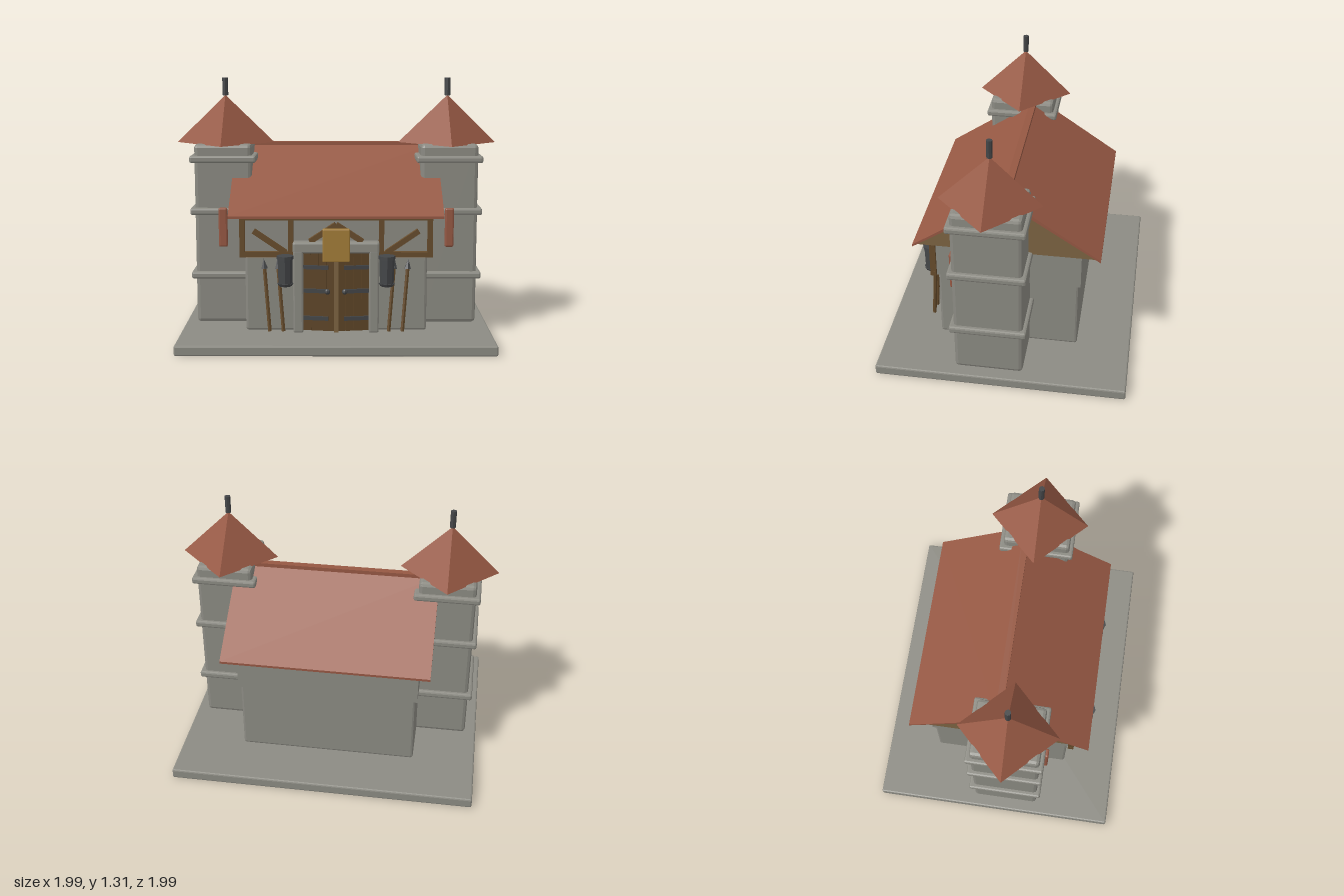
import * as THREE from 'three';
import { RoundedBoxGeometry } from 'three/addons/geometries/RoundedBoxGeometry.js';

const mat = (name, color) => {
  const m = new THREE.MeshStandardMaterial({ color, flatShading: true });
  m.name = name;
  return m;
};

export function createModel() {
  const stone = mat('stone', 0x8c8b83);
  const tile = mat('roof tile', 0x965843);
  const timber = mat('timber', 0x674c2c);
  const gableWood = mat('gable wood', 0x7d6442);
  const doorWood = mat('door wood', 0x5e4527);
  const brass = mat('sign gold', 0xa47d38);
  const iron = mat('iron', 0x444648);

  const root = new THREE.Group();
  root.name = 'gatehouse';
  const house = new THREE.Group();
  house.name = 'building';
  house.rotation.y = Math.PI / 4; // the building stands diagonally
  root.add(house);

  const add = (name, geo, material, x = 0, y = 0, z = 0, parent = house) => {
    const m = new THREE.Mesh(geo, material);
    m.name = name;
    m.position.set(x, y, z);
    parent.add(m);
    return m;
  };
  // box given by its bottom and top heights; bevel optional
  const box = (name, material, w, y0, y1, d, x, z, bevel = 0, parent = house) =>
    add(name, bevel ? new RoundedBoxGeometry(w, y1 - y0, d, 1, bevel) : new THREE.BoxGeometry(w, y1 - y0, d),
      material, x, (y0 + y1) / 2, z, parent);
  // bar running between two points
  const beam = (name, material, a, b, w, d, parent = house) => {
    const A = new THREE.Vector3(...a), B = new THREE.Vector3(...b);
    const m = add(name, new THREE.BoxGeometry(w, A.distanceTo(B), d), material, 0, 0, 0, parent);
    m.position.copy(A).add(B).multiplyScalar(0.5);
    m.quaternion.setFromUnitVectors(new THREE.Vector3(0, 1, 0), B.sub(A).normalize());
    return m;
  };
  // profile in (z, y) stretched along x
  const prism = (name, material, pts, length) => {
    const shape = new THREE.Shape(pts.map(p => new THREE.Vector2(-p[0], p[1])));
    const g = new THREE.ExtrudeGeometry(shape, { depth: length, bevelEnabled: false });
    g.translate(0, 0, -length / 2).rotateY(Math.PI / 2);
    return add(name, g, material);
  };

  // ground slab and walls
  box('groundSlab', stone, 1.556, 0, 0.052, 1.272, 0, 0, 0.008);
  box('lowerWall', stone, 0.91, 0.05, 0.435, 0.72, 0, 0, 0.012);
  box('upperWall', stone, 0.93, 0.43, 0.66, 0.74, 0, 0);

  // main roof
  prism('gable', gableWood, [[-0.445, 0.645], [0.445, 0.645], [0, 0.95]], 1.02);
  prism('mainRoof', tile,
    [[0.467, 0.64], [0.467, 0.652], [0, 0.966], [-0.467, 0.652], [-0.467, 0.64], [0, 0.944]], 1.054);
  box('ridgeCap', tile, 1.04, 0.945, 0.974, 0.035, 0, 0);

  // corner towers
  for (const s of [-1, 1]) {
    const t = new THREE.Group();
    t.name = s < 0 ? 'rightTower' : 'leftTower';
    t.position.set(s * 0.574, 0, 0.06);
    house.add(t);
    box('towerShaft', stone, 0.29, 0.055, 0.98, 0.345, 0, 0, 0.018, t);
    for (const y of [0.29, 0.62, 0.886])
      box('towerBand', stone, 0.335, y, y + 0.036, 0.385, 0, 0, 0.01, t);
    add('towerRoof', new THREE.ConeGeometry(0.252, 0.245, 4), tile, 0, 1.0975, 0, t);
    add('finial', new THREE.CylinderGeometry(0.015, 0.015, 0.09, 8), iron, 0, 1.263, 0, t);
    box('banner', tile, 0.045, 0.46, 0.66, 0.022, 0, 0.198, 0.008, t);
  }

  // timber framing under the front eave
  const zf = 0.38;
  box('bottomRail', timber, 0.28, 0.433, 0.46, 0.03, -0.34, zf);
  box('bottomRail', timber, 0.28, 0.433, 0.46, 0.03, 0.34, zf);
  box('topRail', timber, 0.96, 0.62, 0.648, 0.03, 0, zf);
  for (const s of [-1, 1]) {
    for (const x of [0.466, 0.225])
      box('post', timber, 0.026, 0.435, 0.645, 0.03, s * x, zf);
    beam('brace', timber, [s * 0.41, 0.565, zf], [s * 0.25, 0.455, zf], 0.026, 0.026);
    beam('doorGable', timber, [s * 0.13, 0.515, 0.4], [0, 0.6, 0.4], 0.026, 0.03);
  }

  // doorway
  box('lintel', stone, 0.43, 0.458, 0.515, 0.08, 0, 0.385, 0.01);
  for (const s of [-1, 1]) {
    box('doorJamb', stone, 0.05, 0.055, 0.47, 0.08, s * 0.188, 0.385, 0.008);
    // leaf hinged at the jamb, standing slightly ajar
    const leaf = new THREE.Group();
    leaf.name = 'doorLeaf';
    leaf.position.set(s * 0.163, 0, 0.378);
    leaf.rotation.y = s * 0.14;
    house.add(leaf);
    for (let i = 0; i < 4; i++)
      box('doorPlank', doorWood, 0.039, 0.06, 0.46, 0.025, -s * (0.02 + i * 0.04), 0, 0, leaf);
    for (const y of [0.115, 0.255, 0.375])
      box('hingeStrap', iron, 0.125, y, y + 0.02, 0.01, -s * 0.065, 0.017, 0, leaf);
    add('doorKnob', new THREE.SphereGeometry(0.014, 8, 6), iron, -s * 0.125, 0.265, 0.026, leaf);
  }
  box('doorStile', gableWood, 0.022, 0.06, 0.43, 0.02, 0, 0.422);
  box('sign', brass, 0.135, 0.42, 0.585, 0.02, 0, 0.435, 0.005);

  // lanterns and leaning spears beside the door
  for (const s of [-1, 1]) {
    const l = new THREE.Group();
    l.name = 'lantern';
    l.position.set(s * 0.25, 0, 0.445);
    house.add(l);
    add('lanternBody', new THREE.CylinderGeometry(0.037, 0.034, 0.125, 8), iron, 0, 0.375, 0, l);
    add('lanternCap', new THREE.CylinderGeometry(0.042, 0.042, 0.016, 8), iron, 0, 0.445, 0, l);
    add('lanternFoot', new THREE.CylinderGeometry(0.04, 0.032, 0.014, 8), iron, 0, 0.308, 0, l);
    box('lanternBracket', iron, 0.02, 0.42, 0.44, 0.09, 0, -0.045, 0, l);

    for (const x of [0.262, 0.33]) {
      const spear = new THREE.Group();
      spear.name = 'spear';
      spear.position.set(s * x, 0.065, 0.425);
      spear.rotation.set(-0.08, 0, -s * 0.08);
      house.add(spear);
      add('spearShaft', new THREE.CylinderGeometry(0.01, 0.01, 0.32, 6), timber, 0, 0.16, 0, spear);
      add('spearHead', new THREE.ConeGeometry(0.018, 0.05, 6), iron, 0, 0.34, 0, spear);
    }
  }
  return root;
}
